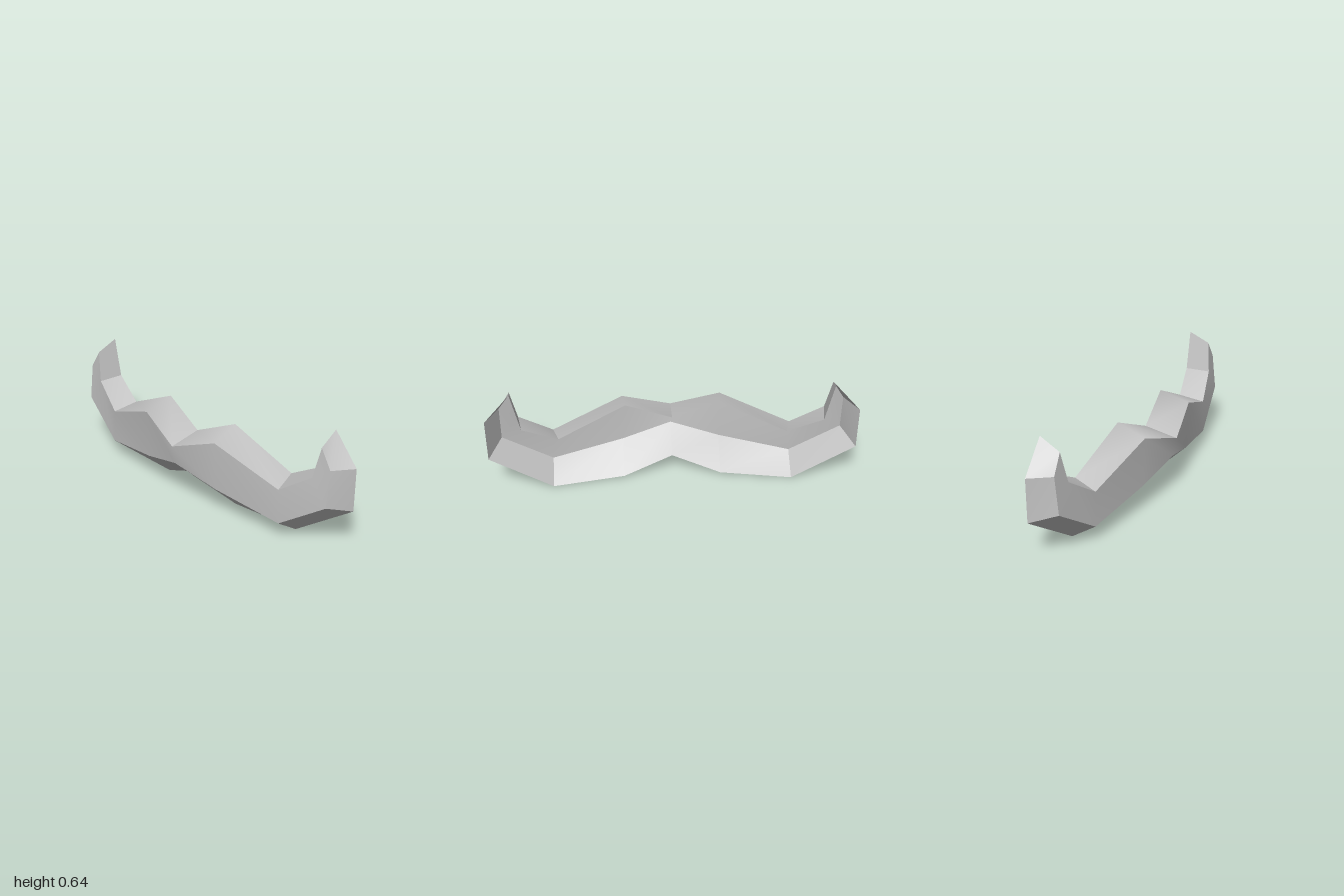
import * as THREE from 'three';

// Cross-section corners of one half, from the centre (x = 0) to the upturned tip
const backTop = [[0, 0.38, -0.03], [0.255, 0.494, -0.065], [0.62, 0.322, -0.115], [0.81, 0.422, -0.16], [0.857, 0.643, -0.16]];
const frontTop = [[0, 0.345, 0.16], [0.27, 0.443, 0.105], [0.655, 0.29, 0.023], [0.835, 0.415, -0.022], [0.868, 0.586, -0.043]];
const frontLow = [[0, 0.235, 0.138], [0.27, 0.163, 0.093], [0.665, 0.095, 0.024], [0.935, 0.28, -0.02], [0.932, 0.483, -0.04]];
const backLow = [[0, 0.122, -0.03], [0.27, 0.014, -0.063], [0.665, 0.002, -0.117], [1, 0.235, -0.16], [1, 0.477, -0.16]];

const mirror = ([x, y, z]) => [-x, y, z];
const mirrorRow = (row) => row.map(mirror).reverse();
// Full row of nine points from the right tip to the left tip; index 4 is the centre
const full = (row) => [...mirrorRow(row), ...row.slice(1)];

// Smooth strip between two edges that run in the same direction
function strip(upper, lower) {
  const n = upper.length;
  const index = [];
  for (let i = 0; i < n - 1; i++) {
    index.push(i, n + i, n + i + 1, i, n + i + 1, i + 1);
  }
  const geometry = new THREE.BufferGeometry();
  geometry.setAttribute('position', new THREE.Float32BufferAttribute([...upper, ...lower].flat(), 3));
  geometry.setIndex(index);
  geometry.computeVertexNormals();
  return geometry;
}

export function createModel() {
  const group = new THREE.Group();
  group.name = 'moustache';
  const grey = new THREE.MeshStandardMaterial({ color: 0xc0c0c0, side: THREE.DoubleSide });
  grey.name = 'plain grey';

  const add = (name, upper, lower) => {
    const mesh = new THREE.Mesh(strip(upper, lower), grey);
    mesh.name = name;
    group.add(mesh);
  };
  // Strip cut at sharp cross edges
  const addCut = (name, upper, lower, cuts) => {
    const a = full(upper);
    const b = full(lower);
    for (let i = 0; i < cuts.length - 1; i++) {
      add(name + (i + 1), a.slice(cuts[i], cuts[i + 1] + 1), b.slice(cuts[i], cuts[i + 1] + 1));
    }
  };

  // Open-backed shell: top, front and underside
  addCut('topFace', backTop, frontTop, [0, 1, 2, 4, 6, 7, 8]);
  addCut('frontFace', frontTop, frontLow, [0, 8]);
  addCut('underside', frontLow, backLow, [0, 1, 2, 6, 7, 8]);

  // Slanted caps on the upturned tips
  const capBack = [backTop[4], backLow[4]];
  const capFront = [frontTop[4], frontLow[4]];
  add('leftTipCap', capBack, capFront);
  add('rightTipCap', mirrorRow(capBack), mirrorRow(capFront));

  return group;
}
